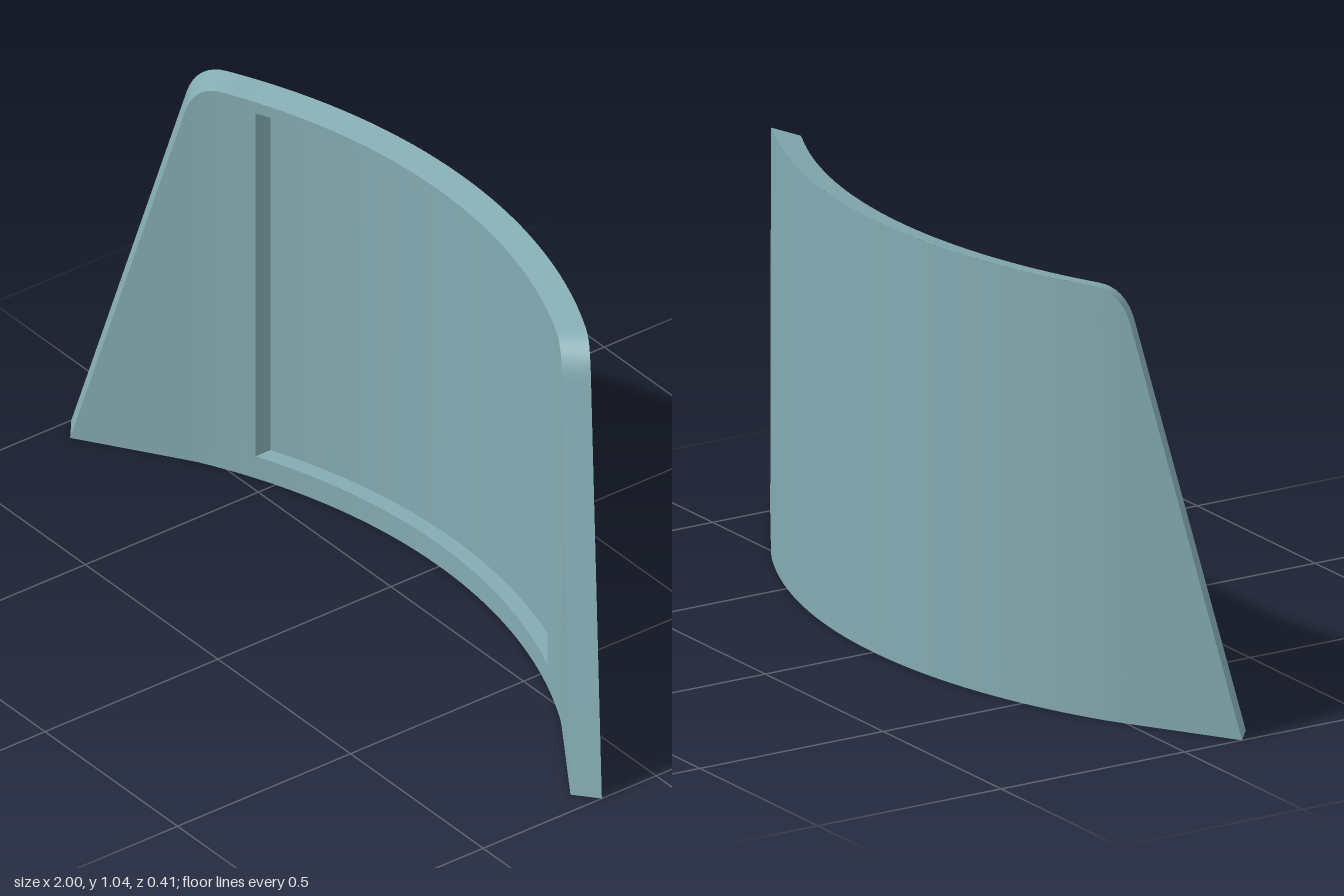
import * as THREE from 'three';

// Plan curve: an arc about z = CZ running into straight wings at the ends
const CZ = 1.295;
const planCurve = (radius, xKink, xEnd, zEnd) => (x) => {
  const a = Math.abs(x);
  const arc = (t) => CZ - Math.sqrt(radius * radius - t * t);
  if (a <= xKink) return arc(a);
  const z0 = arc(xKink);
  return z0 + (zEnd - z0) * (a - xKink) / (xEnd - xKink);
};
const backZ = planCurve(1.5, 0.72, 1, 0.157);
const frontZ = planCurve(1.435, 0.689, 0.943, 0.204);
const floorZ = planCurve(1.475, 0.8, 1, 0.2);

// Right half of an outline: sloping side, then a rounded top corner
function sideOutline(x0, x1, y1, xc, xTop, yTop) {
  const pts = [];
  for (let i = 0; i < 8; i++) pts.push(new THREE.Vector2(x0 + (x1 - x0) * i / 8, y1 * i / 8));
  const corner = new THREE.QuadraticBezierCurve(
    new THREE.Vector2(x1, y1), new THREE.Vector2(xc, yTop), new THREE.Vector2(xTop, yTop));
  return pts.concat(corner.getPoints(8));
}
const backSide = sideOutline(1, 0.762, 0.965, 0.742, 0.675, 1.045);
const frontSide = sideOutline(0.943, 0.71, 0.955, 0.692, 0.63, 1.03);
const ROWS = backSide.length - 1;

// Whole outline, counter-clockwise from bottom right to bottom left
function fullOutline(side) {
  const top = side[ROWS], pts = [...side];
  for (let i = 1; i < 32; i++) pts.push(new THREE.Vector2(top.x * (1 - i / 16), top.y));
  for (let i = ROWS; i >= 0; i--) pts.push(new THREE.Vector2(-side[i].x, side[i].y));
  return pts;
}

// Grid surface from a point rule f(i, j); it faces along di x dj
function patch(nu, nv, f) {
  const pos = [], idx = [];
  for (let j = 0; j <= nv; j++) for (let i = 0; i <= nu; i++) pos.push(...f(i, j));
  for (let j = 0; j < nv; j++) {
    for (let i = 0; i < nu; i++) {
      const a = j * (nu + 1) + i, b = a + 1, c = a + nu + 1, d = c + 1;
      idx.push(a, b, d, a, d, c);
    }
  }
  const g = new THREE.BufferGeometry();
  g.setAttribute('position', new THREE.Float32BufferAttribute(pos, 3));
  g.setIndex(idx);
  g.computeVertexNormals();
  return g;
}

export function createModel() {
  const model = new THREE.Group();
  model.name = 'curvedPanel';
  const material = new THREE.MeshStandardMaterial({ color: 0x84abb2 });
  const add = (name, geometry) => {
    const mesh = new THREE.Mesh(geometry, material);
    mesh.name = name;
    model.add(mesh);
  };
  const lerp = THREE.MathUtils.lerp;
  const N = 48;

  // Convex back face
  add('backFace', patch(N, ROWS, (i, j) => {
    const x = backSide[j].x * (1 - 2 * i / N);
    return [x, backSide[j].y, backZ(x)];
  }));

  // Rim around the sides and top
  const backLoop = fullOutline(backSide), frontLoop = fullOutline(frontSide);
  add('rim', patch(backLoop.length - 1, 1, (i, j) => {
    const p = (j ? frontLoop : backLoop)[i];
    return [p.x, p.y, (j ? frontZ : backZ)(p.x)];
  }));

  // Flat underside
  add('underside', patch(N, 1, (i, j) => {
    const x = (j ? 0.943 : 1) * (2 * i / N - 1);
    return [x, 0, (j ? frontZ : backZ)(x)];
  }));

  // Concave front face, framing the recess
  const RX = 0.55, RY0 = 0.06, RY1 = 1.0, TOP = 1.03;
  for (const s of [-1, 1]) {
    add(s > 0 ? 'frontLeftWing' : 'frontRightWing', patch(12, ROWS, (i, j) => {
      const t = s > 0 ? i / 12 : 1 - i / 12;
      const x = s * lerp(RX, frontSide[j].x, t);
      return [x, frontSide[j].y, frontZ(x)];
    }));
  }
  const across = (i) => RX * (2 * i / N - 1);
  const band = (name, y0, y1, curve) => add(name, patch(N, 1, (i, j) => {
    const x = across(i);
    return [x, j ? y1 : y0, curve(x)];
  }));
  band('frontLowerBand', 0, RY0, frontZ);
  band('frontUpperBand', RY1, TOP, frontZ);
  band('recessFloor', RY0, RY1, floorZ);

  // Walls of the recess
  const ledge = (name, y, from, to) => add(name, patch(N, 1, (i, j) => {
    const x = across(i);
    return [x, y, (j ? to : from)(x)];
  }));
  ledge('recessSill', RY0, frontZ, floorZ);
  ledge('recessHead', RY1, floorZ, frontZ);
  const jamb = (name, x, from, to) => add(name, patch(1, 1, (i, j) =>
    [x, i ? RY1 : RY0, (j ? to : from)(x)]));
  jamb('recessRightJamb', -RX, floorZ, frontZ);
  jamb('recessLeftJamb', RX, frontZ, floorZ);

  return model;
}
